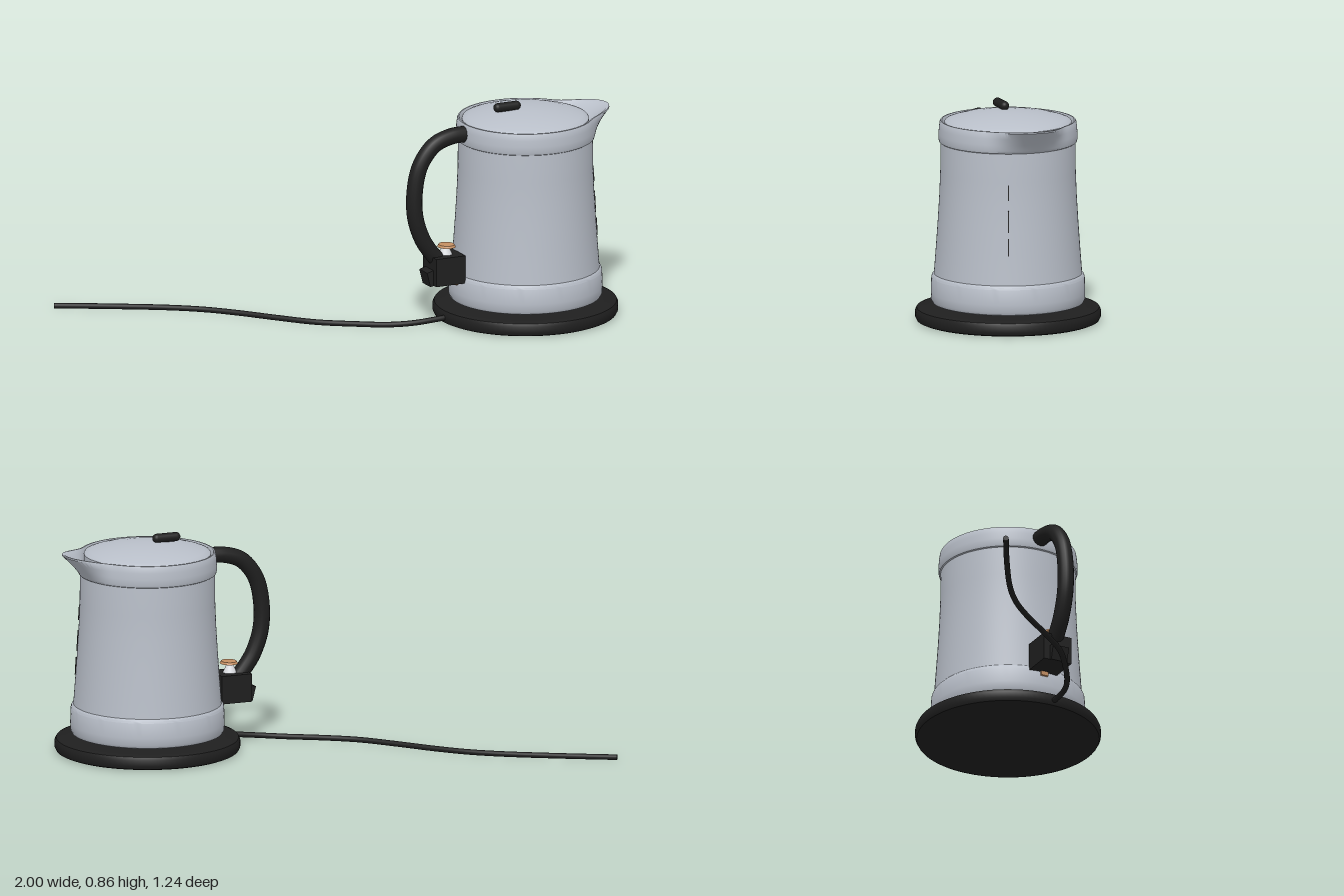
import * as THREE from 'three';
import { toCreasedNormals } from 'three/addons/utils/BufferGeometryUtils.js';

const CX = 0.633, CZ = 0.255; // axis of the kettle

export function createModel() {
  const model = new THREE.Group();
  model.name = 'electricKettle';

  const material = (name, color, extra = {}) => {
    const m = new THREE.MeshStandardMaterial({ color, ...extra });
    m.name = name;
    return m;
  };
  const steel = material('brushedSteel', 0xb9bfc9);
  const black = material('blackPlastic', 0x1f1f1f);
  const tan = material('tanSwitch', 0xc48f62);
  const pale = material('palePlastic', 0xdcdee2);

  const add = (name, geometry, mat, x = 0, y = 0, z = 0) => {
    const mesh = new THREE.Mesh(geometry, mat);
    mesh.name = name;
    mesh.position.set(x, y, z);
    model.add(mesh);
    return mesh;
  };
  const lathe = (points, segments = 96) =>
    new THREE.LatheGeometry(points.map(([r, y]) => new THREE.Vector2(r, y)), segments);
  const turned = (name, points, mat) =>
    add(name, toCreasedNormals(lathe(points), 0.6), mat, CX, 0, CZ);
  const tube = (name, points, radius, mat, segments) => {
    const curve = new THREE.CatmullRomCurve3(points.map((p) => new THREE.Vector3(...p)));
    return add(name, new THREE.TubeGeometry(curve, segments, radius, 16), mat);
  };

  // Power base and the connector under the jug
  turned('powerBase', [
    [0, 0.005], [0.345, 0.005], [0.357, 0.01], [0.363, 0.022], [0.363, 0.046],
    [0.357, 0.058], [0.342, 0.064], [0.3, 0.065], [0, 0.065],
  ], black);
  add('connector', new THREE.CylinderGeometry(0.057, 0.057, 0.025, 32), black, CX, 0.068, CZ);

  // Jug with a wider band around its foot
  turned('body', [
    [0, 0.075], [0.285, 0.075], [0.295, 0.08], [0.301, 0.092], [0.302, 0.12], [0.3, 0.18],
    [0.297, 0.188], [0.29, 0.195], [0.288, 0.22], [0.282, 0.3], [0.275, 0.4],
    [0.269, 0.5], [0.265, 0.6], [0.264, 0.72], [0.262, 0.75], [0, 0.75],
  ], steel);

  // Rim: turned ring pulled out towards +x into a spout; third value is the pull
  const rim = [
    [0.262, 0.714, 0], [0.269, 0.718, 0], [0.272, 0.728, 0.04], [0.272, 0.75, 0.28],
    [0.27, 0.775, 0.62], [0.267, 0.797, 0.97], [0.264, 0.802, 1], [0.259, 0.802, 0.96],
    [0.256, 0.796, 0.85], [0.253, 0.78, 0.4], [0.251, 0.752, 0],
  ];
  const rimGeometry = lathe(rim, 144);
  const pos = rimGeometry.attributes.position;
  for (let i = 0; i < pos.count; i++) {
    const pull = rim[i % rim.length][2];
    const x = pos.getX(i), z = pos.getZ(i);
    const angle = Math.min(Math.abs(Math.atan2(z, x)) / 0.72, 1);
    const bump = pull * Math.pow(0.5 + 0.5 * Math.cos(Math.PI * angle), 1.15);
    const scale = 1 + (0.09 * bump) / Math.hypot(x, z);
    pos.setXYZ(i, x * scale, pos.getY(i) + 0.014 * bump, z * scale);
  }
  add('rimAndSpout', toCreasedNormals(rimGeometry, 0.7), steel, CX, 0, CZ);

  // Domed lid with a lying capsule as its knob
  turned('lid', [
    [0.249, 0.755], [0.249, 0.796], [0.245, 0.801], [0.225, 0.808], [0.18, 0.82],
    [0.12, 0.83], [0.06, 0.836], [0, 0.838],
  ], steel);
  const knob = add('lidKnob', new THREE.CapsuleGeometry(0.018, 0.08, 8, 20), black, 0.553, 0.851, CZ);
  knob.rotation.z = Math.PI / 2;

  // Handle loop, closed at its upper end inside the jug
  tube('handle', [
    [0.39, 0.762, CZ], [0.31, 0.76, CZ], [0.235, 0.733, CZ], [0.176, 0.66, CZ], [0.151, 0.56, CZ],
    [0.153, 0.45, CZ], [0.185, 0.355, CZ], [0.225, 0.295, CZ], [0.265, 0.25, CZ],
  ], 0.032, black, 64);

  // Switch housing at the foot of the handle
  add('switchHousing', new THREE.BoxGeometry(0.127, 0.112, 0.12), black, 0.279, 0.23, CZ);
  const grip = add('handleFoot', new THREE.BoxGeometry(0.06, 0.06, 0.07), black, 0.224, 0.206, CZ);
  grip.rotation.z = 0.25;
  add('switchStem', new THREE.CylinderGeometry(0.012, 0.028, 0.036, 24), pale, 0.284, 0.302, CZ);
  const paddle = add('switchPaddle', new THREE.CylinderGeometry(0.03, 0.035, 0.009, 32), tan, 0.283, 0.324, CZ + 0.012);
  paddle.scale.z = 1.15;
  add('switchPivot', new THREE.BoxGeometry(0.02, 0.02, 0.03), tan, 0.333, 0.167, CZ);

  // Dashed level marks on the side of the jug, leaning with the wall
  const markAngle = 0.345;
  const wall = (y) => 0.2755 + (0.4 - y) * 0.052 + Math.pow(y - 0.5, 2) * 0.08;
  for (const [low, high] of [[0.312, 0.38], [0.405, 0.49], [0.53, 0.592]]) {
    const y = (low + high) / 2, r = wall(y);
    const mark = add('levelMark', new THREE.BoxGeometry(0.005, high - low, 0.005), black,
      CX + r * Math.cos(markAngle), y, CZ + r * Math.sin(markAngle));
    mark.rotation.set(0, -markAngle, 0.055);
  }

  // Power cord trailing away behind
  tube('powerCord', [
    [0.32, 0.034, 0.27], [0.25, 0.03, 0.268], [0.15, 0.021, 0.25], [0.06, 0.016, 0.214],
    [-0.064, 0.016, 0.14], [-0.18, 0.016, 0.055], [-0.29, 0.016, -0.07], [-0.395, 0.016, -0.2],
    [-0.49, 0.016, -0.3], [-0.6, 0.016, -0.385], [-0.8, 0.016, -0.505], [-0.995, 0.016, -0.612],
  ], 0.011, black, 120);
  const plug = add('cordEnd', new THREE.CircleGeometry(0.011, 16), black, -0.995, 0.016, -0.612);
  plug.rotation.y = Math.atan2(-0.195, -0.107);

  return model;
}
